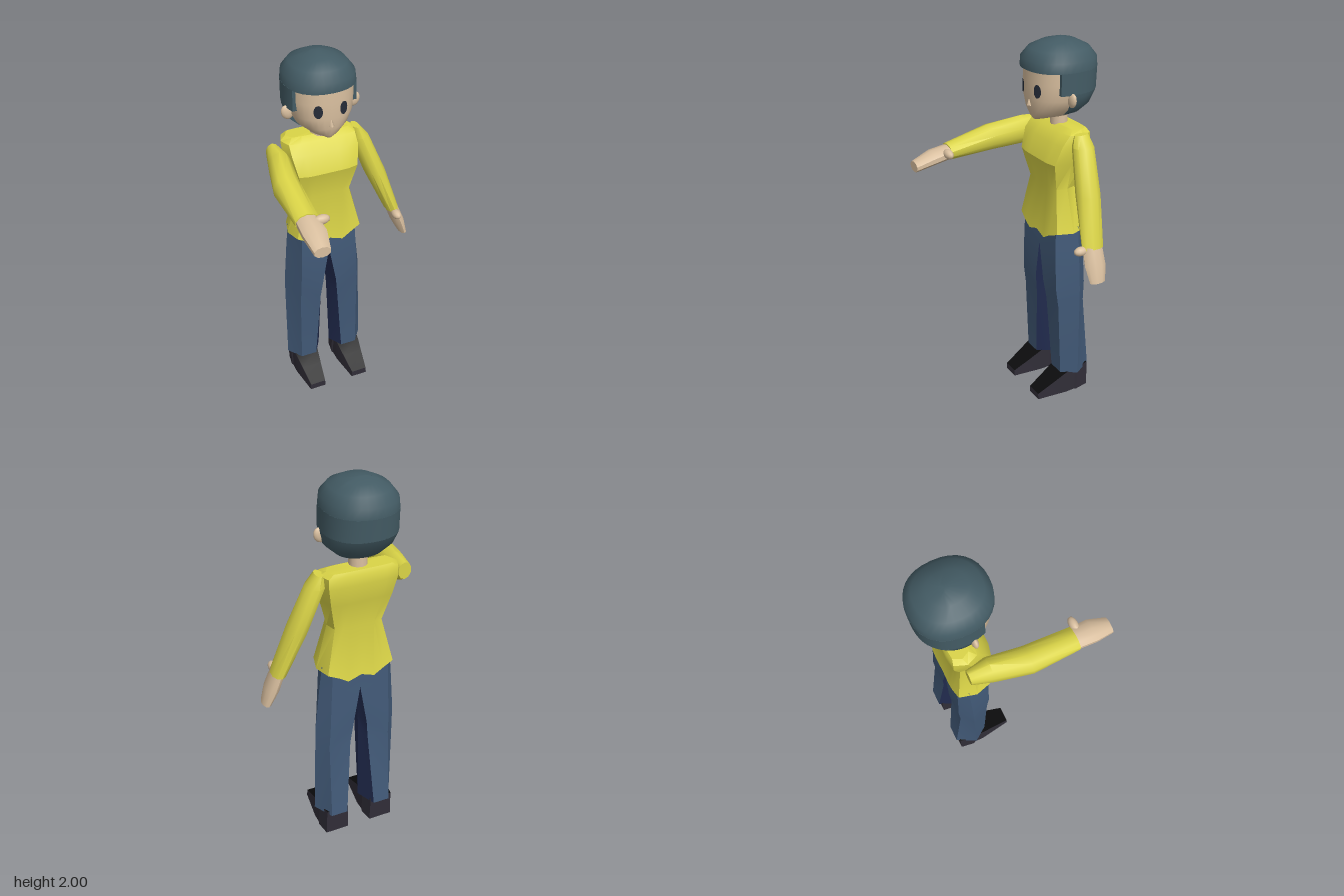
import * as THREE from 'three';
import { toCreasedNormals } from 'three/addons/utils/BufferGeometryUtils.js';

const CX = -0.074; // body midline

function mat(name, color) {
  const m = new THREE.MeshStandardMaterial({ color });
  m.name = name;
  return m;
}

// Closed solid through rings of equal point count; groupOf(column) picks a material slot.
function loft(rings, crease = 0.6, groupOf = () => 0) {
  const n = rings[0].length, pos = rings.flat(2), slots = {};
  const add = (slot, ...tri) => (slots[slot] ??= []).push(...tri);
  for (let j = 0; j < n; j++) {
    const k = (j + 1) % n;
    for (let i = 0; i < rings.length - 1; i++) {
      const a = i * n, b = a + n;
      add(groupOf(j), a + j, a + k, b + k, a + j, b + k, b + j);
    }
  }
  [0, rings.length - 1].forEach((r) => {
    const c = pos.length / 3;
    for (let d = 0; d < 3; d++) pos.push(rings[r].reduce((s, p) => s + p[d], 0) / n);
    for (let j = 0; j < n; j++) {
      const a = r * n + j, b = r * n + (j + 1) % n;
      if (r === 0) add(0, c, b, a); else add(0, c, a, b);
    }
  });
  const index = [], g = new THREE.BufferGeometry();
  for (const s in slots) {
    g.addGroup(index.length, slots[s].length, Number(s));
    index.push(...slots[s]);
  }
  // Turn the faces outward if the enclosed volume is negative
  const v = (i) => new THREE.Vector3().fromArray(pos, i * 3);
  let vol = 0;
  for (let i = 0; i < index.length; i += 3) vol += v(index[i]).dot(v(index[i + 1]).cross(v(index[i + 2])));
  if (vol < 0) for (let i = 0; i < index.length; i += 3) [index[i], index[i + 1]] = [index[i + 1], index[i]];
  g.setAttribute('position', new THREE.Float32BufferAttribute(pos, 3));
  g.setIndex(index);
  return toCreasedNormals(g, crease);
}

// Horizontal head section, optionally only the arc behind angle a0
const P = 0.88, ZM = -0.25;
const pw = (t) => Math.sign(t) * Math.abs(t) ** P;
function headRing([y, w, zf, zb], a0 = 0, n = 32) {
  const zm = Math.min(ZM, zf - 0.04), ring = [];
  for (let i = 0; i < n; i++) {
    const a = a0 ? a0 + (2 * Math.PI - 2 * a0) * i / (n - 1) : 2 * Math.PI * i / n;
    const c = pw(Math.cos(a));
    ring.push([CX + w * pw(Math.sin(a)), y, zm + c * (c > 0 ? zf - zm : zm - zb)]);
  }
  return ring;
}

// Oval section of a limb, lying across the x axis and either y or z
function oval([x, y, z, r1, r2], up, n = 10) {
  return Array.from({ length: n }, (_, i) => {
    const a = (i + 0.5) / n * Math.PI * 2, c = Math.cos(a) * r1, s = Math.sin(a) * r2;
    return up ? [x + c, y + s, z] : [x + c, y, z + s];
  });
}

export function createModel() {
  const shirt = mat('yellow shirt', 0xdad447);
  const skin = mat('skin', 0xd9bf9f);
  const hair = mat('slate hair', 0x435b64);
  const denim = mat('blue trousers', 0x425a78);
  const navy = mat('navy inner leg', 0x222c50);
  const charcoal = mat('charcoal shoe', 0x302d37);
  const black = mat('black shoe', 0x0c0c0d);
  const dark = mat('dark eye', 0x262c38);

  const root = new THREE.Group();
  root.name = 'standingFigure';
  const put = (name, geometry, material) => {
    const m = new THREE.Mesh(geometry, material);
    m.name = name;
    root.add(m);
    return m;
  };
  const blob = (name, material, p, s) => {
    const m = put(name, new THREE.SphereGeometry(1, 12, 8), material);
    m.position.set(...p);
    m.scale.set(...s);
    return m;
  };

  // Shirt: columns are x fraction, z fraction and hem offset, mirrored to the other half
  const half = [[0, 1, -0.02], [0.35, 1, -0.045], [0.58, 0.99, -0.015], [0.88, 0.86, 0.01], [1, 0, 0.005],
    [0.88, -0.9, 0.01], [0.58, -1, -0.015], [0.35, -1, -0.045], [0, -1, -0.02]];
  const columns = [...half, ...half.slice(1, -1).reverse().map(([x, z, h]) => [-x, z, h])];
  const torso = [[1.01, 0.2, -0.13, -0.335], [1.25, 0.142, -0.16, -0.29], [1.4, 0.18, -0.12, -0.325],
    [1.5, 0.2, -0.155, -0.34], [1.55, 0.2, -0.2, -0.335], [1.57, 0.17, -0.235, -0.325]];
  put('shirt', loft(torso.map(([y, w, zf, zb], i) => columns.map(([fx, fz, h]) => {
    const zm = (zf + zb) / 2;
    return [CX + w * fx, y + (i ? 0 : h), zm + fz * (zf - zb) / 2];
  })), 0.5), shirt);

  // Legs and shoes
  const legRings = [[0.13, 0.227, 0.17, 0.08, 0.033, -0.19, -0.375], [0.57, 0.222, 0.168, 0.05, 0.024, -0.168, -0.33],
    [0.68, 0.22, 0.165, 0.038, 0.018, -0.153, -0.335], [0.905, 0.2, 0.155, 0, 0, -0.15, -0.325],
    [1.04, 0.186, 0.15, 0, 0, -0.155, -0.322]];
  const shoeRings = [[-0.358, 0.064, 0.15], [-0.28, 0.076, 0.15], [-0.27, 0.07, 0.15], [-0.21, 0.07, 0.13],
    [-0.14, 0.06, 0.09], [-0.04, 0.046, 0.036]];
  for (const [side, s] of [['left', 1], ['right', -1]]) {
    put(side + 'TrouserLeg', loft(legRings.map(([y, xo, xof, xif, xi, zf, zb]) =>
      [[xof, zf], [xo, -0.27], [xof, zb], [xif, zb], [xi, -0.27], [xif, zf]]
        .map(([x, z]) => [CX + s * x, y, z])), 0.35, (j) => (j === 3 || j === 4 ? 1 : 0)), [denim, navy]);
    put(side + 'Shoe', loft(shoeRings.map(([z, w, h]) =>
      [[-w, 0], [w, 0], [w * 0.95, h], [-w * 0.95, h]]
        .map(([x, y]) => [CX + s * 0.13 + x, y, z])), 0.3, (j) => (j % 2 ? 0 : 1)), [charcoal, black]);
  }

  // Right arm reaches forward
  const across = (rows, up) => loft(rows.map((r) => oval(r, up)), 0.8);
  put('rightSleeve', across([[-0.312, 1.49, -0.285, 0.035, 0.045], [-0.312, 1.465, -0.18, 0.06, 0.078],
    [-0.342, 1.447, 0, 0.069, 0.069], [-0.337, 1.418, 0.25, 0.06, 0.041]], true), shirt);
  put('rightHand', across([[-0.337, 1.418, 0.24, 0.056, 0.037], [-0.335, 1.404, 0.34, 0.061, 0.037],
    [-0.338, 1.373, 0.438, 0.042, 0.028]], true), skin);
  blob('rightThumb', skin, [-0.276, 1.427, 0.273], [0.042, 0.025, 0.023]);

  // Left arm hangs at the side
  put('leftSleeve', across([[0.125, 1.558, -0.26, 0.02, 0.04], [0.143, 1.5, -0.26, 0.05, 0.058],
    [0.226, 1.28, -0.24, 0.056, 0.066], [0.32, 1.03, -0.212, 0.037, 0.062]], false), shirt);
  put('leftHand', across([[0.318, 1.045, -0.21, 0.033, 0.057], [0.354, 0.95, -0.207, 0.035, 0.061],
    [0.385, 0.865, -0.205, 0.022, 0.046]], false), skin);
  blob('leftThumb', skin, [0.318, 1.025, -0.143], [0.025, 0.024, 0.04]);

  // Neck and head
  const neck = put('neck', new THREE.CylinderGeometry(0.042, 0.046, 0.14, 12), skin);
  neck.position.set(CX, 1.61, -0.26);
  put('head', loft([[1.607, 0.03, -0.108, -0.2], [1.625, 0.082, -0.097, -0.26], [1.665, 0.13, -0.086, -0.33],
    [1.72, 0.158, -0.08, -0.37], [1.8, 0.167, -0.08, -0.4], [1.88, 0.167, -0.083, -0.4]].map((r) => headRing(r)), 0.9), skin);
  const nose = put('nose', new THREE.ConeGeometry(0.014, 0.04, 4), skin);
  nose.position.set(CX, 1.702, -0.082);

  // Eyes laid on the curve of the face, and ears
  for (const [side, s] of [['left', 1], ['right', -1]]) {
    const eye = new THREE.CircleGeometry(1, 20), p = eye.attributes.position;
    for (let i = 0; i < p.count; i++) {
      const x = s * 0.065 + p.getX(i) * 0.021;
      const bulge = (1 - (Math.abs(x) / 0.164) ** (2 / P)) ** (P / 2);
      p.setXYZ(i, CX + x, 1.766 + p.getY(i) * 0.034, ZM + 0.17 * bulge + 0.004);
    }
    eye.computeVertexNormals();
    put(side + 'Eye', eye, dark);
    const ear = blob(side + 'Ear', skin, [CX + s * 0.174, 1.728, -0.218], [0.03, 0.038, 0.016]);
    ear.rotation.z = -s * 0.35;
  }

  // Hair: crown with a straight fringe, sideburns, and the back below the ears
  put('hairCrown', loft([[1.862, 0.178, -0.063, -0.438], [1.91, 0.172, -0.064, -0.435], [1.955, 0.137, -0.1, -0.4],
    [1.985, 0.078, -0.16, -0.34], [2.0, 0.02, -0.235, -0.275]].map((r) => headRing(r)), 0.9), hair);
  put('hairSides', loft([[1.755, 0.18, -0.063, -0.432], [1.864, 0.178, -0.063, -0.438]]
    .map((r) => headRing(r, 1.13)), 0.9), hair);
  put('hairBack', loft([[1.622, 0.07, -0.1, -0.31], [1.643, 0.115, -0.08, -0.352], [1.69, 0.166, -0.07, -0.392],
    [1.74, 0.178, -0.063, -0.424], [1.757, 0.18, -0.063, -0.432]].map((r) => headRing(r, 1.46)), 0.9), hair);

  return root;
}
